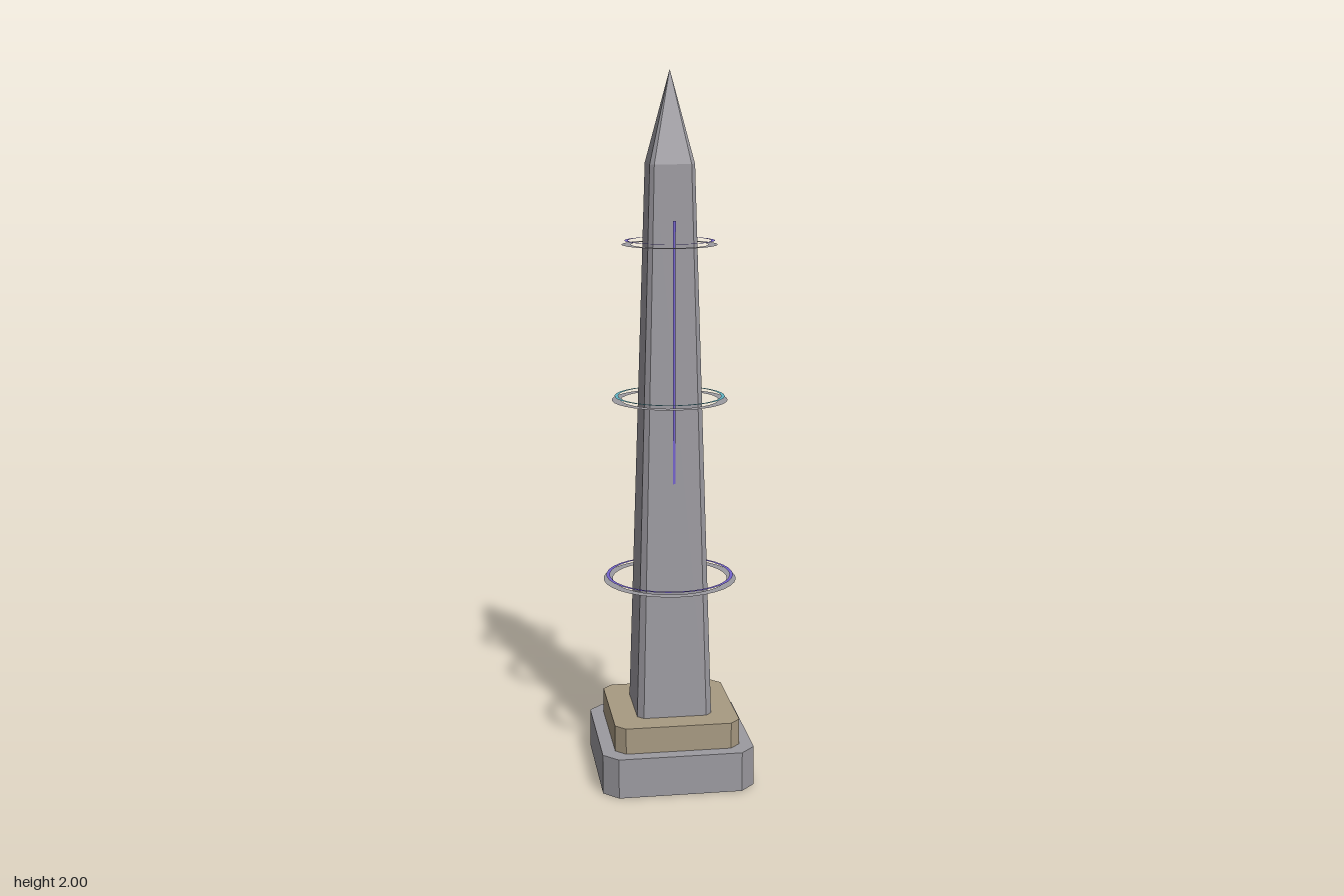
import * as THREE from 'three';

const mat = (name, color, side = THREE.FrontSide) => {
  const m = new THREE.MeshStandardMaterial({ color, side });
  m.name = name;
  return m;
};

// Square outline with cut corners, at height y
function section(half, cut, y) {
  const a = half - cut;
  return [[half, a], [a, half], [-a, half], [-half, a], [-half, -a], [-a, -half], [a, -half], [half, -a]]
    .map(([x, z]) => [x, y, z]);
}

// Flat-faced solid through stacked sections, capped at both ends
function loft(sections) {
  const pos = [];
  const tri = (a, b, c) => pos.push(...a, ...b, ...c);
  for (let s = 0; s < sections.length - 1; s++) {
    const lo = sections[s], hi = sections[s + 1];
    for (let i = 0; i < 8; i++) {
      const j = (i + 1) % 8;
      tri(lo[i], hi[i], hi[j]);
      tri(lo[i], hi[j], lo[j]);
    }
  }
  const first = sections[0], last = sections[sections.length - 1];
  for (let i = 1; i < 7; i++) {
    tri(first[0], first[i], first[i + 1]);
    tri(last[0], last[i + 1], last[i]);
  }
  const g = new THREE.BufferGeometry();
  g.setAttribute('position', new THREE.Float32BufferAttribute(pos, 3));
  g.computeVertexNormals();
  return g;
}

export function createModel() {
  const group = new THREE.Group();
  const stone = mat('grey stone', 0x9c9aa0);
  const ringStone = mat('ring grey', 0x9c9aa0, THREE.DoubleSide);
  const tan = mat('tan stone', 0xa89a82);
  const violet = mat('violet glow', 0x7462cc, THREE.DoubleSide);
  const teal = mat('teal glow', 0x62b4c4, THREE.DoubleSide);

  const add = (name, geometry, material, parent = group) => {
    const mesh = new THREE.Mesh(geometry, material);
    mesh.name = name;
    parent.add(mesh);
    return mesh;
  };

  // Stepped base
  add('plinth', loft([section(0.216, 0.041, 0), section(0.216, 0.041, 0.115)]), stone);
  add('upperStep', loft([section(0.178, 0.028, 0.115), section(0.178, 0.028, 0.19)]), tan);

  // Tapered shaft and pointed cap
  add('shaft', loft([section(0.107, 0.017, 0.19), section(0.062, 0.011, 1.75)]), stone);
  add('pointedCap', loft([section(0.062, 0.011, 1.75), section(0.0004, 0.0001, 2)]), stone);

  // Floating flat rings, each with a narrow coloured band hovering above
  const rings = [['lower', 0.573, 0.177, violet], ['middle', 1.094, 0.15, teal], ['upper', 1.529, 0.12, violet]];
  for (const [name, y, r, glow] of rings) {
    const ring = new THREE.Group();
    ring.name = `${name}Ring`;
    ring.position.y = y;
    group.add(ring);
    const flat = (inner, outer) => new THREE.RingGeometry(inner, outer, 32).rotateX(-Math.PI / 2);
    add(`${name}RingPlate`, flat(r - 0.013, r + 0.013), ringStone, ring);
    add(`${name}RingBand`, flat(r - 0.005, r + 0.005), glow, ring).position.y = 0.011;
  }

  // Thin upright light line on the front
  add('frontLightLine', new THREE.PlaneGeometry(0.007, 0.73), violet).position.set(0, 1.235, 0.088);

  return group;
}
